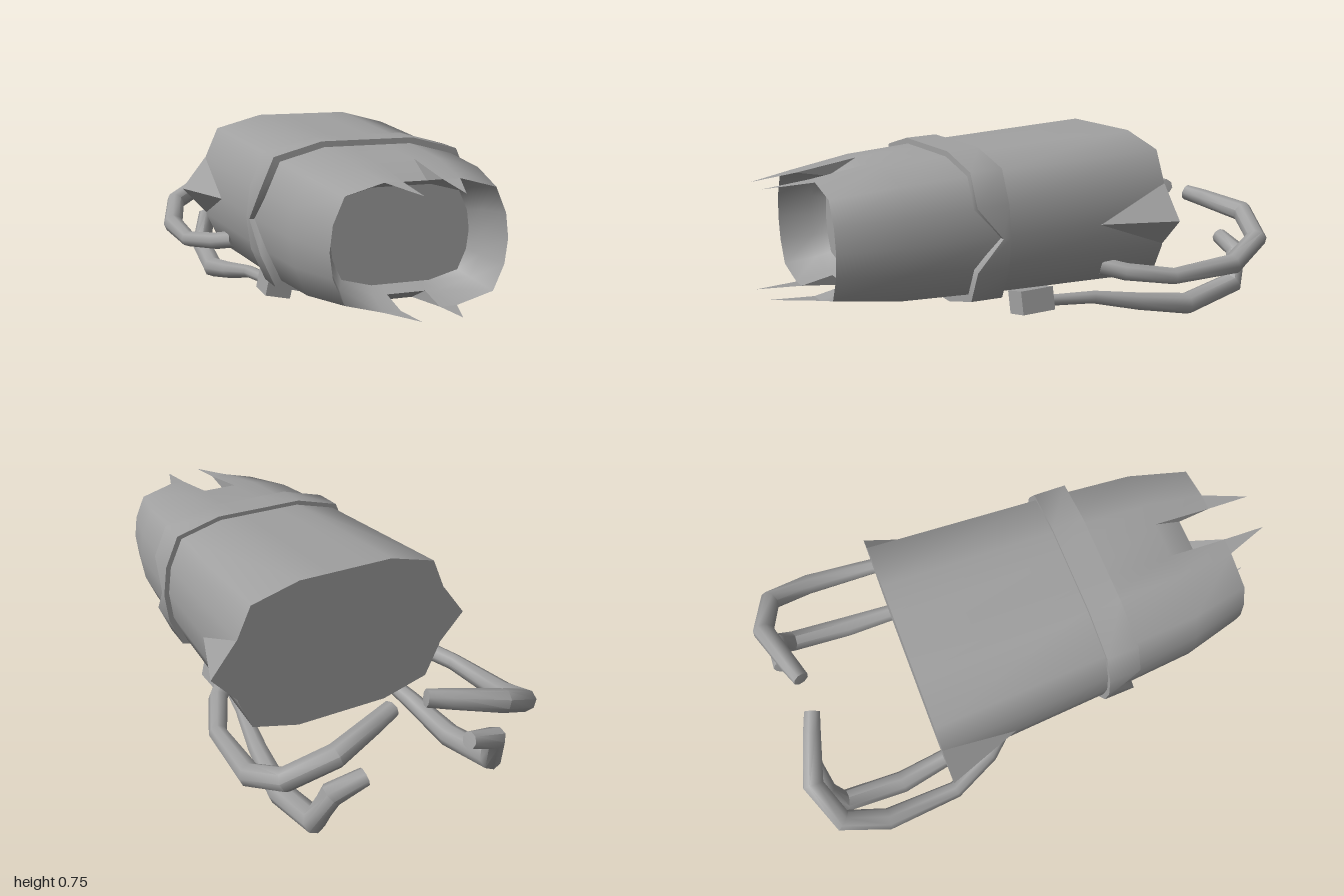
import * as THREE from 'three';
import { toCreasedNormals } from 'three/addons/utils/BufferGeometryUtils.js';
import { ConvexGeometry } from 'three/addons/geometries/ConvexGeometry.js';

const NOTCH = 0.07; // half width of the slots in the intake lip
const TOP = 17, BOTTOM = 8, N = 18; // loop segments that hold the slots

// Rounded octagonal cross-section, clockwise from the top as seen from the front
function loop(z, w, h, cy, sideZ = z) {
  const quarter = [[NOTCH / w, 1], [0.42, 1], [0.84, 0.83], [0.965, 0.41], [1, 0]];
  const half = [...quarter, ...quarter.slice(0, 4).reverse().map(([x, y]) => [x, -y])];
  const all = [...half, ...half.slice().reverse().map(([x, y]) => [-x, y])];
  return all.map(([x, y]) => [x * w, cy + y * h, y === 0 ? sideZ : z]);
}

function geometryFrom(triangles, crease = 0.95) {
  const g = new THREE.BufferGeometry();
  g.setAttribute('position', new THREE.Float32BufferAttribute(triangles.flat(2), 3));
  return toCreasedNormals(g, crease);
}

// Skin between successive loops; skip(k, i) leaves an opening
function skin(loops, skip = () => false) {
  const tris = [];
  for (let k = 0; k < loops.length - 1; k++) {
    for (let i = 0; i < N; i++) {
      if (skip(k, i)) continue;
      const j = (i + 1) % N;
      const a = loops[k][i], b = loops[k][j], c = loops[k + 1][j], d = loops[k + 1][i];
      tris.push([a, d, c], [a, c, b]);
    }
  }
  return tris;
}

function cap(ring, z, cy, front) {
  return ring.map((p, i) => {
    const q = ring[(i + 1) % N];
    return front ? [[0, cy, z], q, p] : [[0, cy, z], p, q];
  });
}

// Bent pipe with a ring of vertices at each path point [x, y, z, radius]
function pipe(path, side) {
  const extend = (p, q) => {
    const a = new THREE.Vector3(...p), b = new THREE.Vector3(...q);
    const e = a.clone().add(a.clone().sub(b).setLength(0.002));
    return [e.x, e.y, e.z, 0];
  };
  const n = path.length;
  const full = [extend(path[0], path[1]), ...path, extend(path[n - 1], path[n - 2])];
  const pts = full.map(([x, y, z]) => new THREE.Vector3(x * side, y, z));
  const curve = new THREE.CatmullRomCurve3(pts, false, 'catmullrom', 0.5);
  curve.getPointAt = (t, v) => curve.getPoint(t, v);
  curve.getTangentAt = (t, v) => curve.getTangent(t, v);
  const sides = 8;
  const g = new THREE.TubeGeometry(curve, pts.length - 1, 1, sides, false);
  const pos = g.attributes.position, v = new THREE.Vector3();
  for (let i = 0; i < pos.count; i++) {
    const k = Math.floor(i / (sides + 1));
    v.fromBufferAttribute(pos, i).sub(pts[k]).multiplyScalar(full[k][3]).add(pts[k]);
    pos.setXYZ(i, v.x, v.y, v.z);
  }
  return toCreasedNormals(g, 0.9);
}

export function createModel() {
  const model = new THREE.Group();
  model.name = 'engine';
  const metal = new THREE.MeshStandardMaterial({ color: 0xa0a0a0, side: THREE.DoubleSide });
  metal.name = 'grey metal';
  const add = (name, geometry) => {
    const mesh = new THREE.Mesh(geometry, metal);
    mesh.name = name;
    model.add(mesh);
    return mesh;
  };

  // Casing: outer wall, lip, inner wall and recessed intake plate
  const rings = [
    loop(-0.45, 0.445, 0.295, 0.46),
    loop(0.22, 0.405, 0.268, 0.456),
    loop(0.6, 0.375, 0.245, 0.453),
    loop(0.83, 0.315, 0.213, 0.45),
    loop(0.71, 0.285, 0.19, 0.45),
    loop(0.66, 0.255, 0.168, 0.45),
  ];
  const slot = (k, i) => (k === 2 || k === 3) && (i === TOP || i === BOTTOM);
  const body = skin(rings, slot);
  body.push(...cap(rings[0], -0.45, 0.46, false), ...cap(rings[5], 0.66, 0.45, true));
  // Sloped slot floors and slot sides
  for (const i of [TOP, BOTTOM]) {
    const j = (i + 1) % N;
    body.push([rings[2][i], rings[4][i], rings[4][j]], [rings[2][i], rings[4][j], rings[2][j]]);
    for (const s of [i, j]) body.push([rings[2][s], rings[3][s], rings[4][s]]);
  }
  add('casing', geometryFrom(body));

  // Raised band with a chevron cut on each side
  add('band', geometryFrom(skin([
    loop(0.22, 0.39, 0.255, 0.4525),
    loop(0.22, 0.425, 0.2875, 0.4525),
    loop(0.345, 0.422, 0.284, 0.4525, 0.25),
    loop(0.345, 0.38, 0.25, 0.4525, 0.25),
  ])));

  for (const side of [1, -1]) {
    const label = side > 0 ? 'left' : 'right';

    // Pointed teeth beside the slots
    for (const [where, y, tipY] of [['Upper', 0.663, 0.645], ['Lower', 0.237, 0.25]]) {
      add(label + where + 'Tooth', geometryFrom([[
        [side * NOTCH, y, 0.83], [side * 0.132, y, 0.83], [side * NOTCH, tipY, 1],
      ]]));
    }

    // Wedge fin at the back
    add(label + 'Fin', new ConvexGeometry([
      [0.42, 0.455, -0.14], [0.53, 0.455, -0.45], [0.43, 0.583, -0.45],
      [0.42, 0.335, -0.45], [0.4, 0.455, -0.45],
    ].map(([x, y, z]) => new THREE.Vector3(x * side, y, z))));

    // Upper pipe, curling in behind the casing
    add(label + 'UpperPipe', pipe([
      [0.37, 0.275, -0.21, 0.035], [0.43, 0.257, -0.28, 0.035], [0.51, 0.235, -0.45, 0.033],
      [0.525, 0.247, -0.73, 0.042], [0.48, 0.32, -0.89, 0.042], [0.33, 0.395, -0.945, 0.042],
      [0.15, 0.425, -0.888, 0.036], [0.07, 0.437, -0.86, 0.032],
    ], side));

    // Lower pipe and the box it leaves from
    add(label + 'LowerPipe', pipe([
      [0.27, 0.14, 0, 0.022], [0.305, 0.13, -0.22, 0.026], [0.34, 0.09, -0.42, 0.036],
      [0.365, 0.052, -0.64, 0.045], [0.365, 0.105, -0.88, 0.045], [0.33, 0.23, -0.925, 0.042],
      [0.21, 0.265, -0.935, 0.032],
    ], side));
    const box = add(label + 'PipeBox', new THREE.BoxGeometry(0.1, 0.09, 0.14));
    box.position.set(side * 0.268, 0.15, 0.04);
    box.rotation.z = side * 0.22;
  }

  return model;
}
